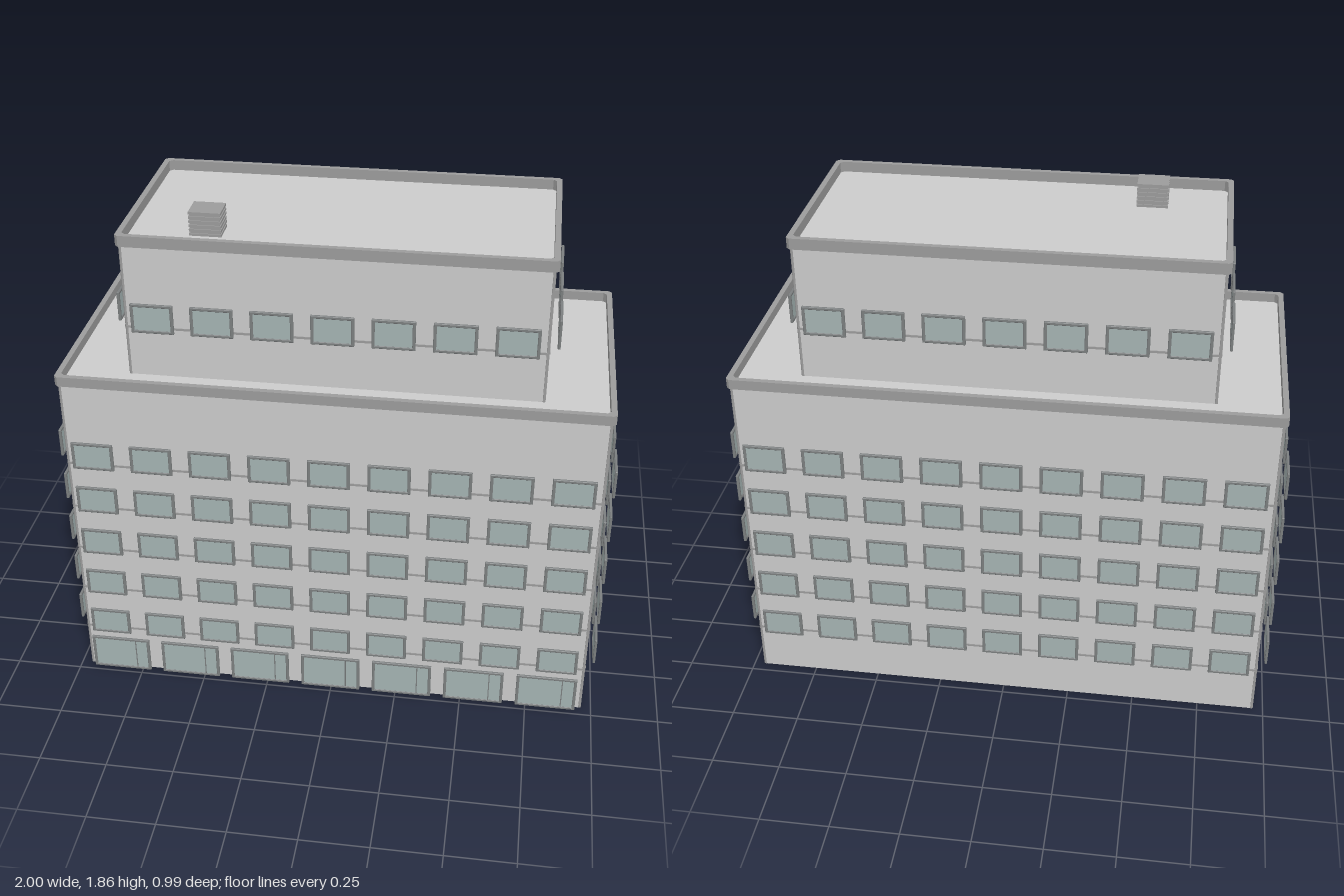
import * as THREE from 'three';

const mat = (color) => new THREE.MeshStandardMaterial({ color, flatShading: true });
const wallMat = mat(0xcccccc);
const trimMat = mat(0x9c9c9c);
const frameMat = mat(0x7c7f80);
const glassMat = mat(0xa5b4b3);

function add(parent, name, geometry, material, x = 0, y = 0, z = 0) {
  const mesh = new THREE.Mesh(geometry, material);
  mesh.name = name;
  mesh.position.set(x, y, z);
  parent.add(mesh);
  return mesh;
}

// Rectangle of half sizes a, b with corners cut by c
function outline(a, b, c, Type = THREE.Shape) {
  return new Type([
    [a, b - c], [a - c, b], [c - a, b], [-a, b - c],
    [-a, c - b], [c - a, -b], [a - c, -b], [a, c - b],
  ].map(([x, y]) => new THREE.Vector2(x, y)));
}

// Upright prism from y0 to y1, with an optional hollow of wall thickness t
function prism(a, b, c, y0, y1, t = 0) {
  const shape = outline(a, b, c);
  if (t) shape.holes.push(outline(a - t, b - t, c, THREE.Path));
  return new THREE.ExtrudeGeometry(shape, { depth: y1 - y0, bevelEnabled: false })
    .rotateX(-Math.PI / 2).translate(0, y0, 0);
}

// Bevelled frame with recessed glass, facing +z
function makeWindow(w, h, mullion) {
  const group = new THREE.Group();
  const bar = 0.009;
  const shape = outline(w / 2 - 0.002, h / 2 - 0.002, 0.0005);
  shape.holes.push(outline(w / 2 - bar, h / 2 - bar, 0.0005, THREE.Path));
  const frame = new THREE.ExtrudeGeometry(shape, {
    depth: 0.006, bevelThickness: 0.002, bevelSize: 0.002, bevelSegments: 1,
  }).translate(0, 0, -0.003);
  add(group, 'windowFrame', frame, frameMat);
  add(group, 'windowGlass', new THREE.BoxGeometry(w - bar * 1.6, h - bar * 1.6, 0.004), glassMat);
  if (mullion) {
    add(group, 'mullion', new THREE.BoxGeometry(0.004, h - bar * 2, 0.007), frameMat, w * 0.26, 0, 0);
  }
  return group;
}

// Evenly spaced row of windows on one side; turn is the number of quarter turns
function windowRow(parent, name, { count, step, w, h, y, dist, turn, mullion }) {
  const row = new THREE.Group();
  row.name = name;
  for (let i = 0; i < count; i++) {
    const win = makeWindow(w, h, mullion);
    win.name = 'window';
    win.position.set((i - (count - 1) / 2) * step, y, dist);
    row.add(win);
  }
  row.rotation.y = turn * Math.PI / 2;
  parent.add(row);
}

// Storey block: walls, sunken flat roof, parapet and corner posts
function makeBlock(name, a, b, y0, deck, top) {
  const block = new THREE.Group();
  block.name = name;
  add(block, 'walls', prism(a, b, 0.008, y0, deck), wallMat);
  add(block, 'parapet', prism(a + 0.011, b + 0.011, 0.012, deck - 0.002, top, 0.02), trimMat);
  for (const sx of [-1, 1]) for (const sz of [-1, 1]) {
    add(block, 'cornerPost', prism(0.006, 0.006, 0.003, y0, deck), trimMat,
      sx * (a - 0.005), 0, sz * (b - 0.005));
  }
  return block;
}

const sillBand = (parent, a, b, y) =>
  add(parent, 'sillBand', prism(a + 0.003, b + 0.003, 0.008, y - 0.004, y + 0.004, 0.006), trimMat);

export function createModel() {
  const model = new THREE.Group();
  model.name = 'officeBuilding';

  // Main block with five window floors
  const main = makeBlock('mainBlock', 0.962, 0.462, 0, 1.275, 1.31);
  for (let f = 0; f < 5; f++) {
    const y = 0.245 + f * 0.189;
    sillBand(main, 0.962, 0.462, y - 0.053);
    for (const turn of [0, 2]) {
      windowRow(main, 'longSideWindows',
        { count: 9, step: 0.2137, w: 0.152, h: 0.11, y, dist: 0.492, turn });
    }
    for (const turn of [1, 3]) {
      windowRow(main, 'endWindows',
        { count: 4, step: 0.2295, w: 0.152, h: 0.11, y, dist: 0.995, turn });
    }
  }

  // Large ground floor windows on the front
  windowRow(main, 'groundFloorWindows',
    { count: 7, step: 0.2747, w: 0.226, h: 0.148, y: 0.089, dist: 0.492, turn: 0, mullion: true });
  model.add(main);

  // Set-back upper block with one window floor
  const upper = makeBlock('upperBlock', 0.733, 0.35, 1.27, 1.772, 1.81);
  sillBand(upper, 0.733, 0.35, 1.464);
  for (const turn of [0, 2]) {
    windowRow(upper, 'upperLongSideWindows',
      { count: 7, step: 0.209, w: 0.15, h: 0.11, y: 1.515, dist: 0.382, turn });
  }
  for (const turn of [1, 3]) {
    windowRow(upper, 'upperEndWindows',
      { count: 3, step: 0.232, w: 0.152, h: 0.11, y: 1.515, dist: 0.765, turn });
  }
  model.add(upper);

  // Louvred ventilation unit on the roof
  const vent = new THREE.Group();
  vent.name = 'roofVent';
  add(vent, 'ventCore', new THREE.BoxGeometry(0.104, 0.086, 0.087), trimMat, 0, 0.043, 0);
  for (let i = 0; i < 6; i++) {
    add(vent, 'ventSlat', new THREE.BoxGeometry(0.112, 0.009, 0.095), trimMat, 0, 0.0055 + i * 0.0155, 0);
  }
  vent.position.set(-0.457, 1.772, 0.197);
  model.add(vent);

  return model;
}
